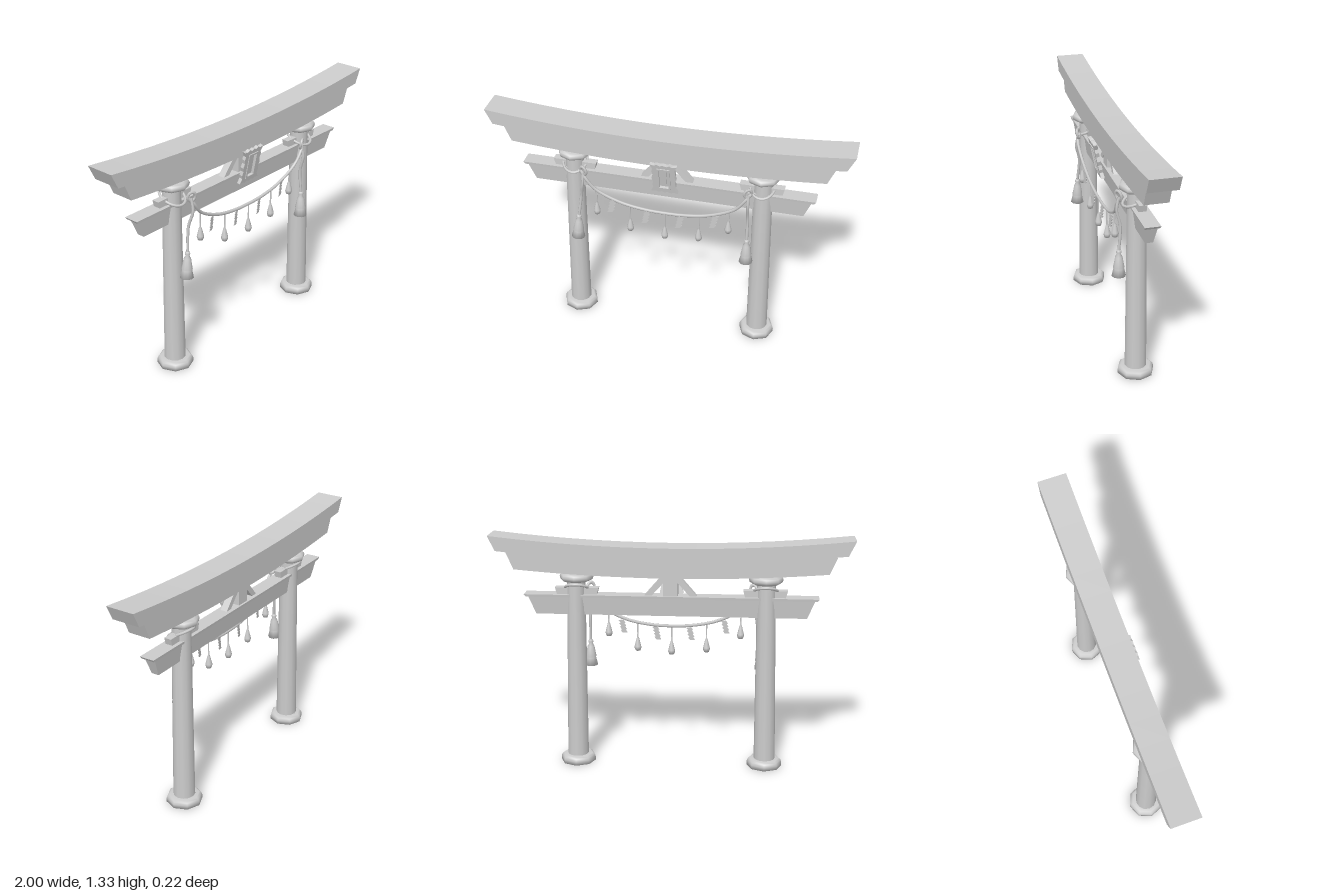
import * as THREE from 'three';

const smooth = new THREE.MeshStandardMaterial({ color: 0xcccccc, side: THREE.DoubleSide });
const flat = new THREE.MeshStandardMaterial({ color: 0xcccccc, side: THREE.DoubleSide, flatShading: true });
const V = (x, y, z) => new THREE.Vector3(x, y, z);

function add(parent, name, geometry, material, x = 0, y = 0, z = 0) {
  const mesh = new THREE.Mesh(geometry, material);
  mesh.name = name;
  mesh.position.set(x, y, z);
  parent.add(mesh);
  return mesh;
}

// Beam with slanted ends; top and bottom differ in length and depth, and rise curves it upward
function beam({ top, bottom, yTop, yBottom, zTop, zBottom = zTop, rise = 0, segments = 1 }) {
  const geo = new THREE.BoxGeometry(2, 2, 2, segments, 1, 1);
  const p = geo.attributes.position;
  for (let i = 0; i < p.count; i++) {
    const up = p.getY(i) > 0;
    const x = p.getX(i) * (up ? top : bottom);
    p.setXYZ(i, x, (up ? yTop : yBottom) + rise * x * x, p.getZ(i) * (up ? zTop : zBottom));
  }
  geo.computeVertexNormals();
  return geo;
}

function lathe(points, sides) {
  return new THREE.LatheGeometry(points.map(([r, y]) => new THREE.Vector2(r, y)), sides);
}

function rope(points, radius, segments) {
  return new THREE.TubeGeometry(new THREE.CatmullRomCurve3(points), segments, radius, 6);
}

// Zigzag folded paper strip, hanging down from its origin
function paperShape() {
  const left = [], right = [];
  for (let i = 0; i < 4; i++) {
    const x = -i * 0.004, y = -0.015 - i * 0.02;
    left.push([x - 0.010, y], [x - 0.020, y - 0.016]);
    right.push([x + 0.020, y], [x + 0.008, y - 0.016]);
  }
  const outline = [...left, ...right.reverse()].map(([x, y]) => new THREE.Vector2(x, y));
  return new THREE.Shape(outline);
}

// Ornate plaque outline: flared corners and wavy sides
function plaqueShape() {
  const quarter = [[0.068, 0], [0.060, 0.025], [0.066, 0.05], [0.060, 0.07], [0.074, 0.10],
    [0.05, 0.096], [0.035, 0.104], [0.018, 0.096], [0, 0.102]];
  const upper = [...quarter, ...quarter.slice(0, -1).reverse().map(([x, y]) => [-x, y])];
  const lower = upper.slice(1, -1).reverse().map(([x, y]) => [x, -y]);
  return new THREE.Shape([...upper, ...lower].map(([x, y]) => new THREE.Vector2(x, y)));
}

function rectangle(w, h) {
  return [[-w, -h], [-w, h], [w, h], [w, -h]].map(([x, y]) => new THREE.Vector2(x, y));
}

function frame(shape, w, h, depth) {
  shape.holes.push(new THREE.Path(rectangle(w, h)));
  return new THREE.ExtrudeGeometry(shape, { depth, bevelEnabled: false });
}

export function createModel() {
  const model = new THREE.Group();
  model.name = 'shrineGate';
  const timber = new THREE.Group();
  timber.name = 'timberFrame';
  timber.position.z = -0.006;
  model.add(timber);

  // Curved roof beams and straight tie beam
  add(timber, 'upperRoofBeam', beam({ top: 1, bottom: 0.96, yTop: 1.278, yBottom: 1.199, zTop: 0.081, rise: 0.055, segments: 14 }), flat);
  add(timber, 'lowerRoofBeam', beam({ top: 0.905, bottom: 0.865, yTop: 1.199, yBottom: 1.108, zTop: 0.064, rise: 0.05, segments: 14 }), flat);
  add(timber, 'tieBeam', beam({ top: 0.795, bottom: 0.755, yTop: 0.988, yBottom: 0.885, zTop: 0.033, zBottom: 0.021 }), flat);
  add(timber, 'tieBeamCap', beam({ top: 0.818, bottom: 0.808, yTop: 1.0, yBottom: 0.986, zTop: 0.042, zBottom: 0.04 }), flat);

  // Central strut with a diagonal brace on each side
  add(timber, 'centralStrut', new THREE.BoxGeometry(0.08, 0.12, 0.06), flat, 0, 1.055, 0);
  for (const s of [-1, 1]) {
    const corners = [[0.145, 1], [0.105, 1], [0.025, 1.09], [0.025, 1.115], [0.045, 1.115]];
    const geo = new THREE.ExtrudeGeometry(new THREE.Shape(corners.map(([x, y]) => new THREE.Vector2(s * x, y))),
      { depth: 0.04, bevelEnabled: false });
    add(timber, 'diagonalBrace', geo, flat, 0, 0, -0.02);
  }

  // Pillars leaning slightly inward, with base, collar and wedge
  const baseProfile = [[0.072, 0.004], [0.1, 0], [0.1, 0.022], [0.095, 0.036], [0.083, 0.045], [0.05, 0.046]];
  const collarProfile = [[0.045, 1.076], [0.075, 1.076], [0.09, 1.084], [0.095, 1.098], [0.09, 1.112], [0.075, 1.121], [0, 1.121]];
  for (const s of [-1, 1]) {
    const pillar = add(timber, 'pillar', new THREE.CylinderGeometry(0.051, 0.061, 1.075, 12), smooth, s * 0.534, 0.5475, 0);
    pillar.rotation.z = s * 0.013;
    add(timber, 'pillarBase', lathe(baseProfile, 8), smooth, s * 0.54, 0, 0);
    add(timber, 'pillarCollar', lathe(collarProfile, 8), smooth, s * 0.525, 0, 0);
    add(timber, 'wedge', beam({ top: 0.122, bottom: 0.112, yTop: 1.038, yBottom: 1.0, zTop: 0.021 }), flat, s * 0.523, 0, 0);
  }

  // Tilted plaque: ornate frame, raised inner frame, recessed panel
  const plaque = new THREE.Group();
  plaque.name = 'plaque';
  plaque.position.set(0, 1.052, 0.065);
  plaque.rotation.x = 0.2;
  add(plaque, 'plaqueFrame', frame(plaqueShape(), 0.028, 0.068, 0.02), flat);
  add(plaque, 'plaqueInnerFrame', frame(new THREE.Shape(rectangle(0.036, 0.076)), 0.025, 0.065, 0.007), flat, 0, 0, 0.018);
  add(plaque, 'plaquePanel', new THREE.BoxGeometry(0.06, 0.14, 0.006), flat, 0, 0, 0.003);
  add(plaque, 'plaqueTablet', new THREE.BoxGeometry(0.026, 0.105, 0.008), flat, 0, 0, 0.008);
  model.add(plaque);

  // Sagging main rope
  const half = [[0.475, 1.015, 0.06], [0.445, 0.975, 0.075], [0.39, 0.905, 0.07], [0.257, 0.838, 0.064], [0.12, 0.81, 0.062]];
  const sag = [...half.map(([x, y, z]) => V(-x, y, z)), V(0, 0.804, 0.061), ...half.reverse().map(([x, y, z]) => V(x, y, z))];
  add(model, 'mainRope', rope(sag, 0.009, 48), smooth);

  // Rope loops, knots and long end tassels
  const longTassel = [[0, 0], [0.011, 0], [0.015, -0.012], [0.011, -0.024], [0.02, -0.04], [0.026, -0.075],
    [0.031, -0.1], [0.028, -0.106], [0.039, -0.15], [0, -0.155]];
  for (const [s, tailX, lean] of [[-1, -0.497, -0.08], [1, 0.465, 0]]) {
    const loop = add(model, 'pillarRopeLoop', new THREE.TorusGeometry(0.078, 0.008, 6, 24), smooth, s * 0.525, 1.03, -0.004);
    loop.rotation.x = Math.PI / 2 + 0.46;
    loop.scale.x = 0.85;
    const knot = add(model, 'ropeKnot', new THREE.TorusGeometry(0.021, 0.008, 6, 14), smooth, s * 0.457, 1.02, 0.07);
    knot.rotation.set(0.2, s * 0.5, 0);
    knot.scale.y = 1.25;
    const tail = [V(s * 0.46, 1.01, 0.07), V(s * 0.462, 0.94, 0.082), V((s * 0.46 + tailX) / 2, 0.85, 0.062), V(tailX, 0.71, 0.07)];
    add(model, 'ropeTail', rope(tail, 0.008, 18), smooth);
    const tassel = add(model, 'longTassel', lathe(longTassel, 10), smooth, tailX, 0.712, 0.07);
    tassel.rotation.z = lean;
  }

  // Small tassels hung on cords
  const smallTassel = [[0, 0.1], [0.004, 0.1], [0.004, 0.08], [0.008, 0.07], [0.019, 0.025], [0.02, 0.016], [0.014, 0], [0, 0]];
  for (const [x, y, top] of [[-0.39, 0.738, 0.905], [-0.198, 0.655, 0.822], [0, 0.637, 0.804], [0.193, 0.655, 0.822], [0.358, 0.738, 0.885]]) {
    add(model, 'smallTassel', lathe(smallTassel, 8), smooth, x, y, 0.063);
    const length = top - y - 0.075;
    add(model, 'tasselCord', new THREE.CylinderGeometry(0.004, 0.004, length, 6), smooth, x, top - length / 2, 0.064);
  }

  // Zigzag paper strips between the tassels
  const paper = new THREE.ExtrudeGeometry(paperShape(), { depth: 0.003, bevelEnabled: false });
  for (const [x, y] of [[-0.298, 0.855], [-0.102, 0.812], [0.09, 0.812], [0.283, 0.848]]) {
    const strip = add(model, 'paperStrip', paper, flat, x, y, 0.062);
    strip.rotation.y = 0.25;
  }
  return model;
}
